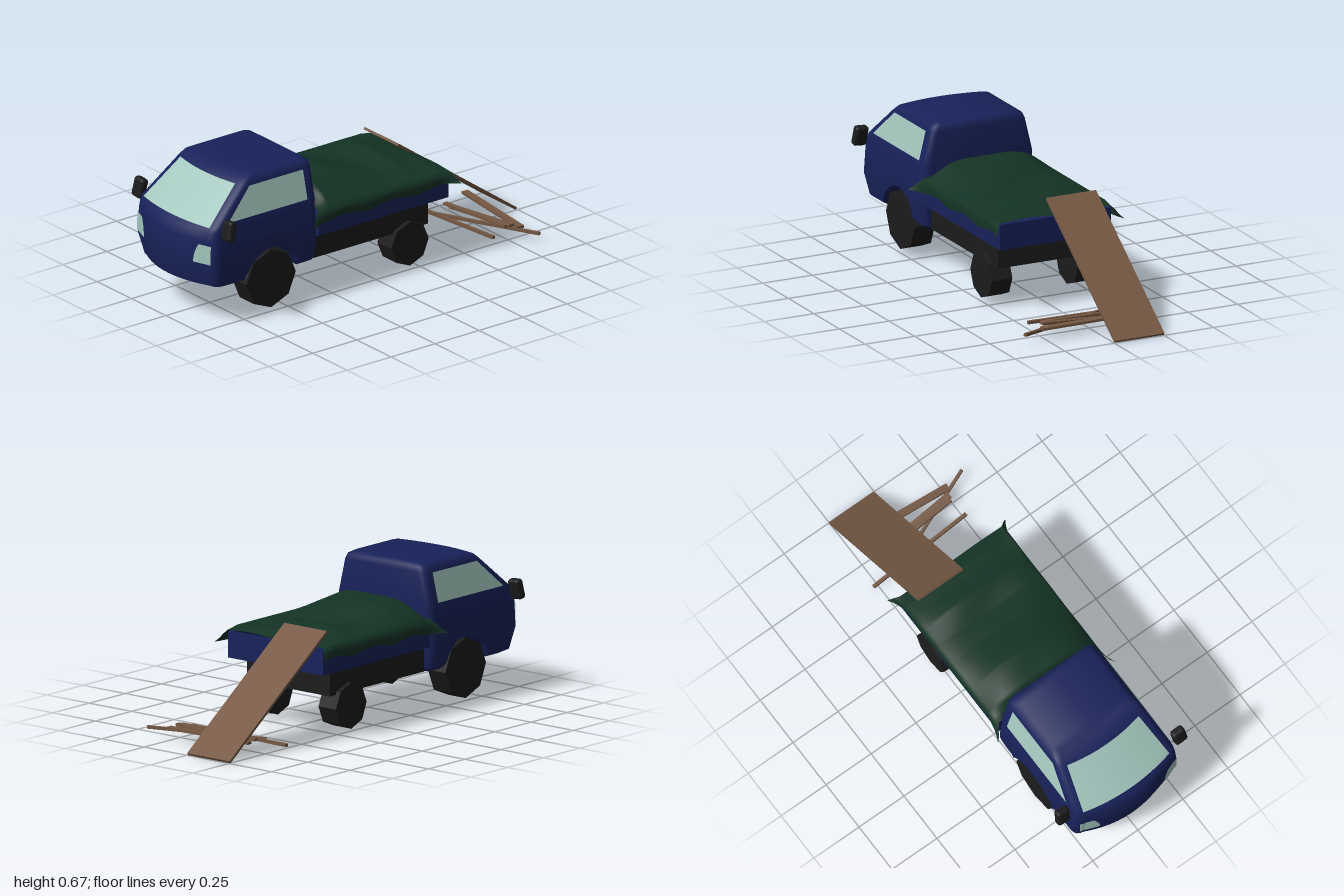
import * as THREE from 'three';
import { toCreasedNormals } from 'three/addons/utils/BufferGeometryUtils.js';
import { RoundedBoxGeometry } from 'three/addons/geometries/RoundedBoxGeometry.js';
import { ParametricGeometry } from 'three/addons/geometries/ParametricGeometry.js';

const mat = (color, extra = {}) => new THREE.MeshStandardMaterial({ color, ...extra });
const paint = mat(0x18225a);
const glass = mat(0xa3c6bd, { side: THREE.DoubleSide });
const rubber = mat(0x1c1c1d, { flatShading: true });
const canvas = mat(0x143325, { side: THREE.DoubleSide });
const wood = mat(0x755843);

function add(parent, name, geometry, material, x = 0, y = 0, z = 0) {
  const mesh = new THREE.Mesh(geometry, material);
  mesh.name = name;
  mesh.position.set(x, y, z);
  parent.add(mesh);
  return mesh;
}

// Cab outline by height: y, half width, front z, bow of the front, corner radius, back z
const LEVELS = [
  [0.185, 0.245, 0.930, 0.050, 0.030, 0.360],
  [0.200, 0.272, 0.975, 0.055, 0.040, 0.345],
  [0.300, 0.291, 0.997, 0.055, 0.040, 0.340],
  [0.420, 0.281, 0.995, 0.050, 0.040, 0.340],
  [0.465, 0.278, 0.978, 0.040, 0.040, 0.340],
  [0.485, 0.276, 0.952, 0.030, 0.035, 0.340],
  [0.640, 0.238, 0.772, 0.025, 0.030, 0.342],
  [0.663, 0.228, 0.745, 0.025, 0.030, 0.348],
  [0.676, 0.205, 0.700, 0.020, 0.030, 0.370],
];
const AXLE = { z: 0.6, y: 0.165, arch: 0.155 };

function levelAt(y) {
  let i = 0;
  while (i < LEVELS.length - 2 && y > LEVELS[i + 1][0]) i++;
  const k = (y - LEVELS[i][0]) / (LEVELS[i + 1][0] - LEVELS[i][0]);
  return LEVELS[i].map((a, n) => a + (LEVELS[i + 1][n] - a) * k);
}

// Front surface of the cab, including its rounded corners
function frontZ(x, y) {
  const [, w, f, bow, r] = levelAt(y);
  const ax = Math.abs(x), flat = w - r;
  if (ax < flat) return f - bow * (ax / flat) ** 2;
  return f - bow - r + Math.sqrt(Math.max(0, r * r - (ax - flat) ** 2));
}

// Half of one outline, from the middle of the front to the middle of the back
function halfOutline([y, w, f, bow, r, back]) {
  const pts = [];
  for (let i = 0; i <= 6; i++) pts.push([(i / 6) * (w - r), f - bow * (i / 6) ** 2]);
  for (let i = 1; i <= 3; i++) {
    const a = (i / 4) * Math.PI / 2;
    pts.push([w - r + r * Math.sin(a), f - bow - r + r * Math.cos(a)]);
  }
  for (let i = 0; i <= 36; i++) pts.push([w, THREE.MathUtils.lerp(f - bow - r, back + r, i / 36)]);
  for (let i = 1; i <= 4; i++) {
    const a = (i / 4) * Math.PI / 2;
    pts.push([w - r + r * Math.cos(a), back + r - r * Math.sin(a)]);
  }
  pts.push([0, back]);
  // Lift the lower edge over the front wheels
  return pts.map(([x, z]) => {
    const d = z - AXLE.z;
    if (y >= 0.42 || Math.abs(d) >= AXLE.arch) return [x, y, z];
    const low = Math.max(0.185, AXLE.y + Math.sqrt(AXLE.arch ** 2 - d * d));
    return [Math.max(x, 0.28), low + (y - 0.185) * (0.42 - low) / 0.235, z];
  });
}

function cabGeometry() {
  const rows = LEVELS.map(halfOutline);
  const centre = row => row.map(([, y, z]) => [0, y, z]);
  rows.unshift(centre(rows[0]));
  rows.push(centre(rows[rows.length - 1]));
  const pos = [];
  for (const s of [1, -1]) {
    for (let i = 0; i < rows.length - 1; i++) {
      for (let j = 0; j < rows[0].length - 1; j++) {
        const a = rows[i][j], b = rows[i][j + 1], c = rows[i + 1][j + 1], d = rows[i + 1][j];
        const corners = s > 0 ? [a, b, c, a, c, d] : [a, c, b, a, d, c];
        for (const [x, y, z] of corners) pos.push(s * x, y, z);
      }
    }
  }
  const g = new THREE.BufferGeometry();
  g.setAttribute('position', new THREE.Float32BufferAttribute(pos, 3));
  return toCreasedNormals(g, 0.8);
}

// Pane lying on the front of the cab; x limits change from bottom to top
function frontPane(y0, y1, left, right) {
  return new ParametricGeometry((u, v, p) => {
    const y = y0 + (y1 - y0) * v;
    const x = THREE.MathUtils.lerp(left(v), right(v), u);
    p.set(x * 1.005, y, frontZ(x, y) + 0.006);
  }, 16, 8);
}

function sidePane(s) {
  return new ParametricGeometry((u, v, p) => {
    const y = 0.5 + 0.135 * v;
    p.set(s * (levelAt(y)[1] + 0.004), y, THREE.MathUtils.lerp(0.4, 0.85 - 0.145 * v, u));
  }, 4, 4);
}

// Loose sheet: raised over the load, hanging at the sides, flared at the corners
const RIDGE = [[-0.41, 0], [-0.3, 0.012], [-0.2, 0.035], [-0.1, 0.017], [0, 0.03],
  [0.15, 0.07], [0.28, 0.08], [0.335, 0.0]];
function ridge(z) {
  let i = 0;
  while (i < RIDGE.length - 2 && z > RIDGE[i + 1][0]) i++;
  const [z0, a] = RIDGE[i], [z1, b] = RIDGE[i + 1];
  return THREE.MathUtils.clamp(a + (b - a) * (z - z0) / (z1 - z0), 0, 0.1);
}
function tarpGeometry() {
  return new ParametricGeometry((u, v, p) => {
    const a = u * 2 - 1, side = Math.max(0, (Math.abs(a) - 0.86) / 0.14);
    const across = Math.min(1, Math.abs(a) / 0.86);
    const z = THREE.MathUtils.lerp(0.345, -0.402, v);
    const end = Math.max(0, 1 - Math.min(v, 1 - v) / 0.09);
    const flare = side * end;
    const fold = 0.006 * Math.sin(z * 17 + a * 4) * (1 - across ** 4);
    p.set(
      Math.sign(a) * (across * 0.28 + 0.013 * Math.min(1, side * 3) + 0.035 * flare * flare),
      0.447 + ridge(z) * (1 - across ** 3) + fold - side * (0.07 + 0.008 * Math.sin(z * 23)) - 0.012 * end * (1 - side),
      z + (v < 0.5 ? 0.06 : -0.035) * flare);
  }, 42, 44);
}

// Board stretched between two points
function board(parent, name, from, to, width, thickness) {
  const a = new THREE.Vector3(...from), b = new THREE.Vector3(...to);
  const mesh = add(parent, name, new THREE.BoxGeometry(width, thickness, a.distanceTo(b)), wood);
  mesh.position.copy(a).add(b).multiplyScalar(0.5);
  mesh.lookAt(b);
}

export function createModel() {
  const model = new THREE.Group();
  model.name = 'pickupTruckWithPlanks';
  const truck = new THREE.Group();
  truck.name = 'truck';
  truck.position.x = -0.0125;
  model.add(truck);

  // Cab and its glass
  add(truck, 'cab', cabGeometry(), paint);
  add(truck, 'cabFloor', new THREE.BoxGeometry(0.32, 0.14, 0.36), paint, 0, 0.262, 0.6);
  add(truck, 'windshield', frontPane(0.484, 0.643, v => -0.238 + 0.04 * v, v => 0.238 - 0.04 * v), glass);
  for (const s of [1, -1]) {
    add(truck, 'sideWindow', sidePane(s), glass);
    const inner = v => s * (0.178 + 0.027 * v * v);
    add(truck, 'headlight', frontPane(0.315, 0.405, inner, () => s * 0.266), glass);
    const mirror = add(truck, 'mirror', new RoundedBoxGeometry(0.066, 0.094, 0.04, 2, 0.014), rubber, s * 0.324, 0.487, 0.885);
    mirror.rotation.set(-0.2, 0, s * 0.08);
  }

  // Load bed and chassis
  add(truck, 'chassis', new THREE.BoxGeometry(0.49, 0.12, 0.65), rubber, 0, 0.25, 0.015);
  add(truck, 'bedFloor', new THREE.BoxGeometry(0.55, 0.03, 0.74), paint, 0, 0.322, -0.03);
  for (const s of [1, -1]) {
    add(truck, 'bedSide', new THREE.BoxGeometry(0.02, 0.12, 0.74), paint, s * 0.27, 0.367, -0.03);
    add(truck, 'bedEnd', new THREE.BoxGeometry(0.55, 0.12, 0.02), paint, 0, 0.367, -0.03 + s * 0.36);
  }
  add(truck, 'tarp', tarpGeometry(), canvas);

  // Eight-sided wheels
  for (const [name, r, y, z] of [['frontWheel', 0.14, 0.165, 0.6], ['rearWheel', 0.106, 0.13, -0.19]]) {
    for (const s of [1, -1]) {
      const g = new THREE.CylinderGeometry(r, r, 0.103, 8).rotateZ(Math.PI / 2);
      add(truck, name, g, rubber, s * 0.216, y, z);
    }
  }

  // Ramp plank and loose boards on the ground
  board(model, 'rampPlank', [-0.128, 0.008, -0.996], [-0.128, 0.49, -0.325], 0.25, 0.012);
  board(model, 'looseBoard', [-0.275, 0.025, -0.63], [0.262, 0.042, -0.66], 0.016, 0.014);
  board(model, 'looseBoard', [-0.15, 0.034, -0.625], [0.368, 0.05, -0.838], 0.014, 0.014);
  board(model, 'looseBoard', [-0.18, 0.072, -0.84], [0.27, 0.056, -0.808], 0.034, 0.012);
  board(model, 'looseBoard', [-0.15, 0.036, -0.74], [0.25, 0.068, -0.77], 0.03, 0.012);
  board(model, 'looseBoard', [-0.17, 0.05, -0.72], [0.24, 0.066, -0.75], 0.022, 0.012);
  return model;
}
